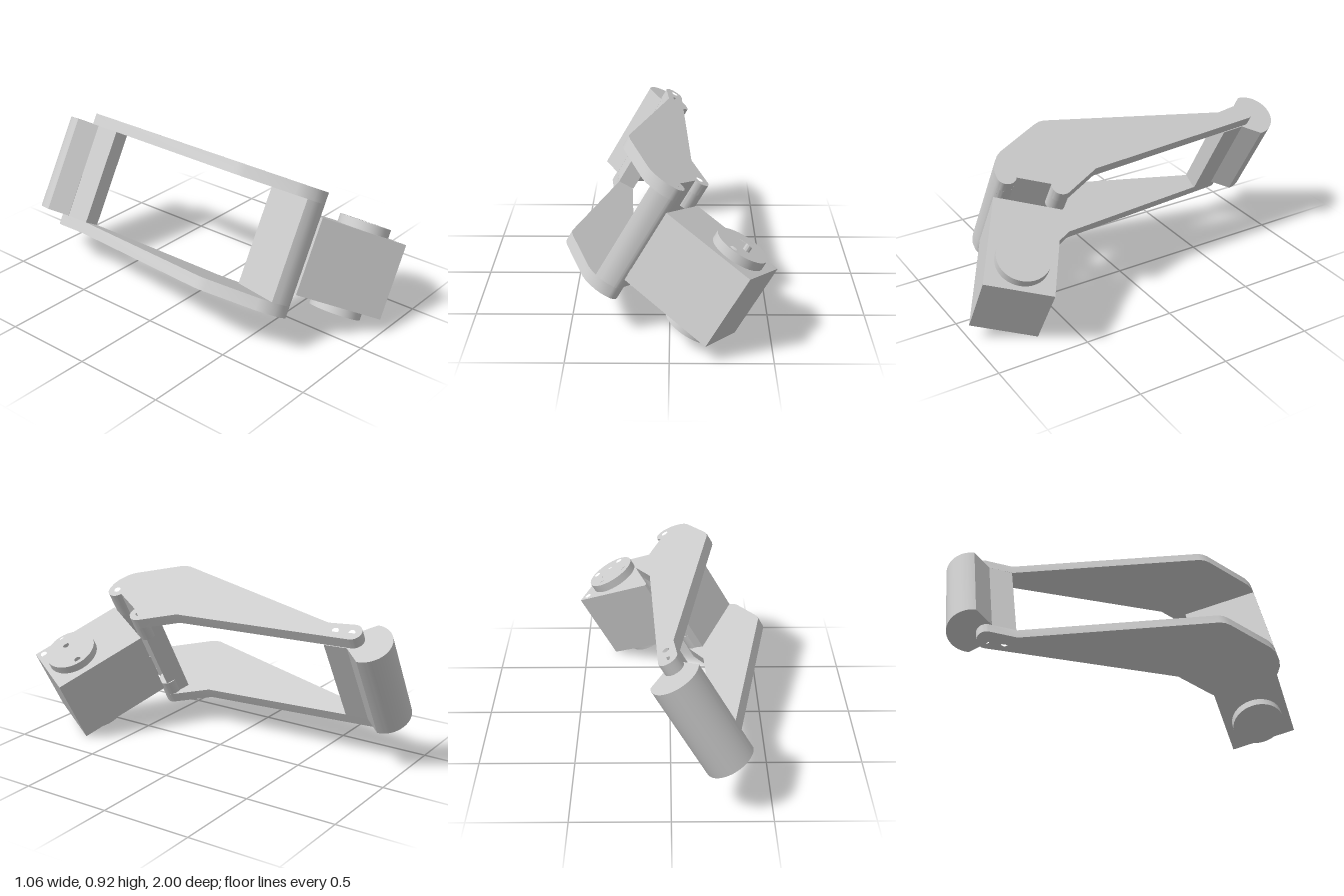
import * as THREE from 'three';
import { toCreasedNormals } from 'three/addons/utils/BufferGeometryUtils.js';

const material = new THREE.MeshStandardMaterial({ color: 0xcccccc });
const RAD = Math.PI / 180;
const MID = 0.368; // mid height of the bracket, before it is tilted

// Points [x, z] along an arc, angles in degrees measured from +x towards +z
function arc(cx, cz, r, from, to, steps = 16) {
  const pts = [];
  for (let i = 0; i <= steps; i++) {
    const t = (from + ((to - from) * i) / steps) * RAD;
    pts.push([cx + r * Math.cos(t), cz + r * Math.sin(t)]);
  }
  return pts;
}

const circle = (cx, cz, r) => arc(cx, cz, r, 0, 360, 40).slice(0, -1);

// Upright prism over an outline in the x-z plane; holes are [x, z, radius]
function prism(name, outline, y0, y1, holes = []) {
  const toVec = ([x, z]) => new THREE.Vector2(x, -z);
  const shape = new THREE.Shape(outline.map(toVec));
  for (const [x, z, r] of holes) shape.holes.push(new THREE.Path(circle(x, z, r).map(toVec)));
  const geo = new THREE.ExtrudeGeometry(shape, { depth: y1 - y0, bevelEnabled: false });
  geo.rotateX(-Math.PI / 2);
  geo.translate(0, y0, 0);
  const mesh = new THREE.Mesh(toCreasedNormals(geo, 0.5), material);
  mesh.name = name;
  return mesh;
}

export function createModel() {
  const model = new THREE.Group();
  model.name = 'servoLeg';
  const leg = new THREE.Group();
  leg.name = 'tiltedLeg';
  leg.rotation.z = -30 * RAD;
  model.add(leg);

  // Side plates, mirrored about the mid height
  const bossR = 0.052;
  const bosses = [[-0.233, 0.435], [-0.373, 0.68]];
  const plate = [
    ...arc(-0.385, -0.8, 0.052, 180, 360),
    [-0.278, 0.21],
    ...arc(...bosses[0], bossR, -25, 120),
    ...arc(...bosses[1], bossR, -60, 90),
    [-0.41, 0.73], [-0.445, 0.717], [-0.475, 0.697], [-0.5, 0.675], [-0.52, 0.647],
    [-0.63, 0.4], [-0.639, 0.37], [-0.639, 0.34],
    [-0.418, -0.65],
  ];
  const screws = [...bosses, [-0.381, -0.8], [-0.375, -0.71]].map(([x, z]) => [x, z, 0.018]);
  for (const [side, s] of [['upper', 1], ['lower', -1]]) {
    const span = (a, b) => [MID + s * a, MID + s * b].sort((p, q) => p - q);
    leg.add(prism(side + 'SidePlate', plate, ...span(0.268, 0.331), screws));
    for (const [x, z] of bosses) {
      leg.add(prism(side + 'Boss', circle(x, z, bossR), ...span(0.178, 0.268)));
    }
  }

  // Walls joining the two plates
  const low = MID - 0.268, high = MID + 0.268;
  leg.add(prism('frontWall', [
    [-0.278, 0.35], [-0.187, 0.412], bosses[0], bosses[1],
    ...arc(...bosses[1], bossR, 60, 90, 6),
    [-0.41, 0.73], [-0.445, 0.717], [-0.475, 0.697],
  ], low, high));
  leg.add(prism('rearWall', [
    [-0.418, -0.655], [-0.321, -0.655], [-0.329, -0.8], [-0.437, -0.8],
  ], low, high));

  // Rounded foot with a tapered root
  leg.add(prism('foot', [
    ...arc(-0.385, -0.87, 0.13, 180, 360, 40), [-0.33, -0.78], [-0.435, -0.78],
  ], low, high));

  // Servo, turned 30 degrees within the bracket
  const servo = new THREE.Group();
  servo.name = 'servo';
  servo.position.set(-0.034, 0, 0.715);
  servo.rotation.y = -30 * RAD;
  leg.add(servo);
  const L = 0.26, W = 0.178;
  const box = [[-L, -W], [L, -W], [L, W], [-L, W]];
  servo.add(prism('servoCase', box, MID - 0.2035, 0.535));
  servo.add(prism('servoCover', box, 0.535, MID + 0.2035,
    [[0.222, -0.144, 0.018], [0.222, 0.144, 0.018]]));

  // Output horn with its screw ring, and the idler ring below
  const hornX = 0.094;
  const hornHoles = [[hornX, 0, 0.06]];
  for (let i = 0; i < 4; i++) {
    const t = i * 90 * RAD;
    hornHoles.push([hornX + 0.108 * Math.cos(t), 0.108 * Math.sin(t), 0.018]);
  }
  servo.add(prism('outputHorn', circle(hornX, 0, 0.139), MID + 0.2035, 0.618, hornHoles));
  servo.add(prism('idlerRing', circle(hornX, 0, 0.139), 0.12, MID - 0.2035, [[hornX, 0, 0.07]]));

  return model;
}
